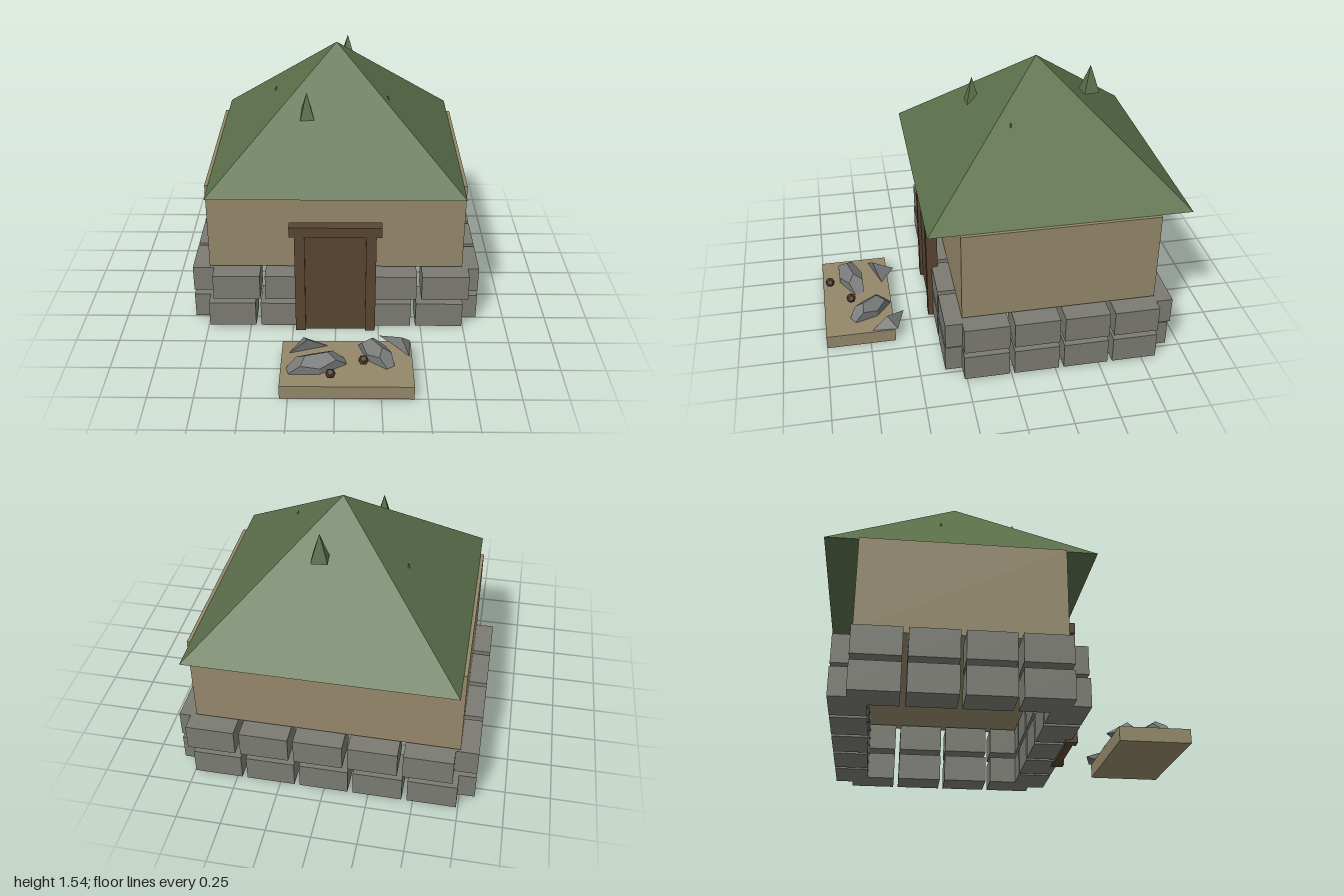
import * as THREE from 'three';
import { ConvexGeometry } from 'three/addons/geometries/ConvexGeometry.js';

const mat = (name, color) => {
  const m = new THREE.MeshStandardMaterial({ color });
  m.name = name;
  m.flatShading = true;
  return m;
};

export function createModel() {
  const model = new THREE.Group();
  model.name = 'cottage';
  const plaster = mat('plaster tan', 0x94886a);
  const stone = mat('stone grey', 0x7b7b73);
  const green = mat('roof green', 0x5b6f4a);
  const wood = mat('door brown', 0x574532);
  const rock = mat('rock grey', 0x777a78);
  const bark = mat('dark brown', 0x4c3626);
  const CZ = -0.28; // centre of the house in z

  const add = (name, geometry, material, x = 0, y = 0, z = 0, parent = model) => {
    const mesh = new THREE.Mesh(geometry, material);
    mesh.name = name;
    mesh.position.set(x, y, z);
    parent.add(mesh);
    return mesh;
  };
  // Box given by its limits on each axis
  const box = (name, material, [x0, x1], [y0, y1], [z0, z1], parent) =>
    add(name, new THREE.BoxGeometry(x1 - x0, y1 - y0, z1 - z0), material,
      (x0 + x1) / 2, (y0 + y1) / 2, (z0 + z1) / 2, parent);
  // Square pyramid standing on y
  const pyramid = (name, half, height, x, y, z, turn = 0) => {
    const g = new THREE.ConeGeometry(half * Math.SQRT2, height, 4);
    g.rotateY(Math.PI / 4 + turn);
    return add(name, g, green, x, y + height / 2, z);
  };

  // Walls and roof
  box('walls', plaster, [-0.735, 0.735], [0.365, 0.89], [-0.822, 0.262]);
  pyramid('roof', 0.716, 0.655, 0, 0.89, -0.284);

  // Small pyramids on the roof, two of them nearly buried
  pyramid('roofSpike', 0.044, 0.155, 0.065, 1.335, -0.58, 0.1);
  pyramid('roofSpike', 0.039, 0.155, -0.165, 1.21, 0.05, 0.1);
  pyramid('roofSpike', 0.039, 0.155, -0.365, 1.08, -0.385, 0.2);
  pyramid('roofSpike', 0.039, 0.155, 0.295, 1.14, -0.085, 0.2);

  // Two courses of foundation stones round the house
  const foundation = new THREE.Group();
  foundation.name = 'foundation';
  model.add(foundation);
  const longStone = new THREE.BoxGeometry(0.272, 0.153, 0.19);
  const sideStone = new THREE.BoxGeometry(0.2, 0.153, 0.252);
  [[0.092, 0], [0.276, 0.03]].forEach(([y, shift]) => {
    for (const s of [-1, 1]) {
      for (let i = -2; i <= 2; i++) {
        add('foundationStone', longStone, stone, i * 0.302 + shift, y, CZ + s * 0.545, foundation);
      }
      for (let i = 0; i < 4; i++) {
        add('sideStone', sideStone, stone, s * 0.735, y, CZ + (i - 1.5) * 0.28, foundation);
      }
    }
  });

  // Door panel set back between posts and lintel
  const door = new THREE.Group();
  door.name = 'door';
  model.add(door);
  box('doorPanel', wood, [-0.175, 0.172], [0, 0.63], [0.33, 0.372], door);
  box('doorPost', wood, [-0.233, -0.175], [0, 0.63], [0.325, 0.39], door);
  box('doorPost', wood, [0.172, 0.23], [0, 0.63], [0.325, 0.39], door);
  box('lintel', wood, [-0.263, 0.261], [0.63, 0.692], [0.325, 0.39], door);

  // Slab in front of the door
  box('slab', plaster, [-0.295, 0.425], [0, 0.08], [0.605, 1.0]);

  // Long rocks lying on the slab
  const boulder = (x, z, sx, sy, sz, turn) => {
    const m = add('rock', new THREE.DodecahedronGeometry(1), rock, x, 0.085, z);
    m.scale.set(sx, sy, sz);
    m.rotation.y = turn;
  };
  boulder(-0.1, 0.83, 0.175, 0.085, 0.075, 0.28);
  boulder(0.228, 0.733, 0.142, 0.088, 0.07, -0.95);

  // Pointed shards behind them
  const shard = (...points) =>
    add('shard', new ConvexGeometry(points.map((p) => new THREE.Vector3(...p))), rock);
  shard([-0.18, 0.075, 0.56], [-0.255, 0.08, 0.715], [-0.04, 0.08, 0.645], [-0.15, 0.155, 0.69]);
  shard([0.25, 0.075, 0.54], [0.42, 0.08, 0.59], [0.41, 0.08, 0.735], [0.37, 0.14, 0.645]);

  // Little faceted balls
  for (const [x, z] of [[-0.022, 0.957], [0.155, 0.84]]) {
    add('ball', new THREE.DodecahedronGeometry(0.028), bark, x, 0.133, z);
  }
  return model;
}
